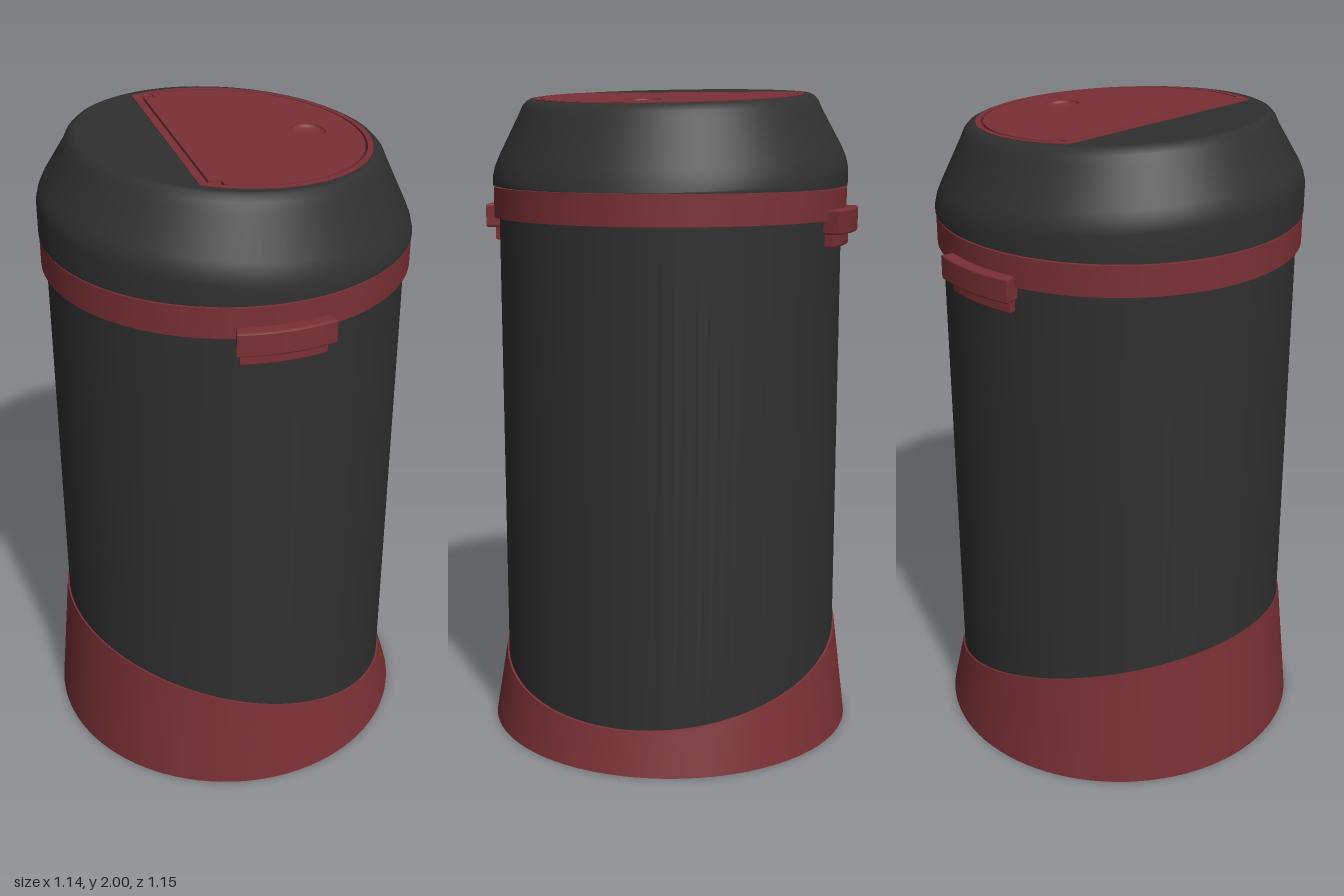
import * as THREE from 'three';

const dark = new THREE.MeshStandardMaterial({ color: 0x303030 });
const red = new THREE.MeshStandardMaterial({ color: 0x7a3035 });
const darkInside = new THREE.MeshStandardMaterial({ color: 0x303030, side: THREE.DoubleSide });
const redThin = new THREE.MeshStandardMaterial({ color: 0x7a3035, side: THREE.DoubleSide });

const TOP = 1.972, TILT = 0.065;            // sloping plane of the lid top
const topAt = x => TOP - TILT * x;
const shoulderAt = x => 1.75 - 0.09 * x;
const skirtAt = x => 0.275 - 0.28 * x;

function add(parent, name, geometry, material) {
  const mesh = new THREE.Mesh(geometry, material);
  mesh.name = name;
  parent.add(mesh);
  return mesh;
}

// Skin over round rings, bottom to top: [radius, height or height rule of x].
// A repeated ring makes a sharp edge.
function loft(rings, sides = 96) {
  const pos = [], index = [];
  rings.forEach(([r, y], i) => {
    for (let j = 0; j < sides; j++) {
      const a = (j / sides) * Math.PI * 2, x = r * Math.cos(a);
      pos.push(x, typeof y === 'function' ? y(x) : y, -r * Math.sin(a));
      if (i === rings.length - 1) continue;
      const k = (j + 1) % sides, p = i * sides, q = p + sides;
      index.push(p + j, p + k, q + k, p + j, q + k, q + j);
    }
  });
  const g = new THREE.BufferGeometry();
  g.setAttribute('position', new THREE.Float32BufferAttribute(pos, 3));
  g.setIndex(index);
  g.computeVertexNormals();
  return g;
}

// D outline: an arc closed by a chord, optionally with stepped corners
function dOutline(path, r, chord, stepX = chord, stepZ = 0) {
  const cx = 0.012, a = Math.acos((stepX - cx) / r);
  path.absarc(cx, 0, r, -a, a, false);
  if (stepZ) {
    path.lineTo(stepX, stepZ);
    path.lineTo(chord, stepZ);
    path.lineTo(chord, -stepZ);
    path.lineTo(stepX, -stepZ);
  }
  path.closePath();
  return path;
}

// Flat plate lying in the xz plane, from height y upwards
function plate(shape, y, depth) {
  return new THREE.ExtrudeGeometry(shape, { depth, bevelEnabled: false, curveSegments: 64 })
    .rotateX(-Math.PI / 2).translate(0, y, 0);
}

// Curved block hugging the body, centred on +z
function curvedBlock(rIn, rOut, half, y, height) {
  const b = 0.005, m = Math.PI / 2, s = new THREE.Shape();
  s.absarc(0, 0, rOut - b, -m - half, -m + half, false);
  s.absarc(0, 0, rIn, -m + half, -m - half, true);
  s.closePath();
  return new THREE.ExtrudeGeometry(s, {
    depth: height - 2 * b, bevelSize: b, bevelThickness: b, bevelSegments: 2, curveSegments: 16,
  }).rotateX(-Math.PI / 2).translate(0, y + b, 0);
}

export function createModel() {
  const root = new THREE.Group();
  root.name = 'wasteBin';
  const bin = new THREE.Group();
  bin.name = 'turnedBin';
  bin.rotation.y = 0.35;
  root.add(bin);

  // Flared foot with a slanting upper edge
  add(bin, 'baseSkirt', loft([
    [0, 0], [0.57, 0], [0.57, 0], [0.533, skirtAt], [0.533, skirtAt], [0.52, skirtAt],
  ]), red);

  // Cylindrical body and the band below the lid
  add(bin, 'body', loft([[0.527, 0.02], [0.527, 1.64]]), dark);
  add(bin, 'rimBand', loft([
    [0.52, 1.61], [0.543, 1.61], [0.543, 1.61], [0.543, 1.7], [0.543, 1.7], [0.52, 1.7],
  ]), red);

  // Domed lid with a sloping top
  add(bin, 'lid', loft([
    [0.5, 1.705], [0.545, 1.705], [0.545, 1.705], [0.545, shoulderAt],
    [0.538, x => shoulderAt(x) + 0.03], [0.525, x => shoulderAt(x) + 0.06],
    [0.463, x => topAt(x) - 0.045], [0.452, x => topAt(x) - 0.02],
    [0.438, x => topAt(x) - 0.005], [0.425, topAt],
  ]), dark);
  add(bin, 'lidGap', loft([[0.525, 1.69], [0.525, 1.71]]), dark);

  // Parts lying on the sloping top
  const top = new THREE.Group();
  top.name = 'lidTop';
  top.position.y = TOP;
  top.rotation.z = -Math.atan(TILT);
  bin.add(top);

  const deck = new THREE.Shape().absarc(0, 0, 0.428, 0, Math.PI * 2, false);
  deck.holes.push(dOutline(new THREE.Path(), 0.408, -0.18));
  add(top, 'lidDeck', new THREE.ShapeGeometry(deck, 64).rotateX(-Math.PI / 2), dark);
  add(top, 'flapWellFloor', new THREE.ShapeGeometry(dOutline(new THREE.Shape(), 0.408, -0.18), 64)
    .rotateX(-Math.PI / 2).translate(0, -0.03, 0), darkInside);

  const frame = dOutline(new THREE.Shape(), 0.41, -0.182);
  frame.holes.push(dOutline(new THREE.Path(), 0.394, -0.158, -0.123, 0.347));
  add(top, 'flapFrame', plate(frame, -0.03, 0.032), red);

  const flap = dOutline(new THREE.Shape(), 0.387, -0.151, -0.116, 0.34);
  const pressX = 0.25, pressR = 0.052;
  flap.holes.push(new THREE.Path().absarc(pressX, 0, pressR, 0, Math.PI * 2, true));
  add(top, 'flap', plate(flap, -0.022, 0.024), red);

  // Shallow finger dimple in the flap
  const dimple = add(top, 'pressDimple',
    new THREE.SphereGeometry(pressR, 32, 10, 0, Math.PI * 2, Math.PI / 2, Math.PI / 2), redThin);
  dimple.scale.y = 0.35;
  dimple.position.set(pressX, 0.002, 0);

  // Two stepped catches on opposite sides
  for (const [name, turn] of [['frontCatch', 0], ['backCatch', Math.PI]]) {
    const c = new THREE.Group();
    c.name = name;
    c.rotation.y = turn;
    add(c, 'catchGrip', curvedBlock(0.52, 0.578, 0.24, 1.57, 0.072), red);
    add(c, 'catchFoot', curvedBlock(0.515, 0.55, 0.22, 1.53, 0.05), red);
    bin.add(c);
  }
  return root;
}
